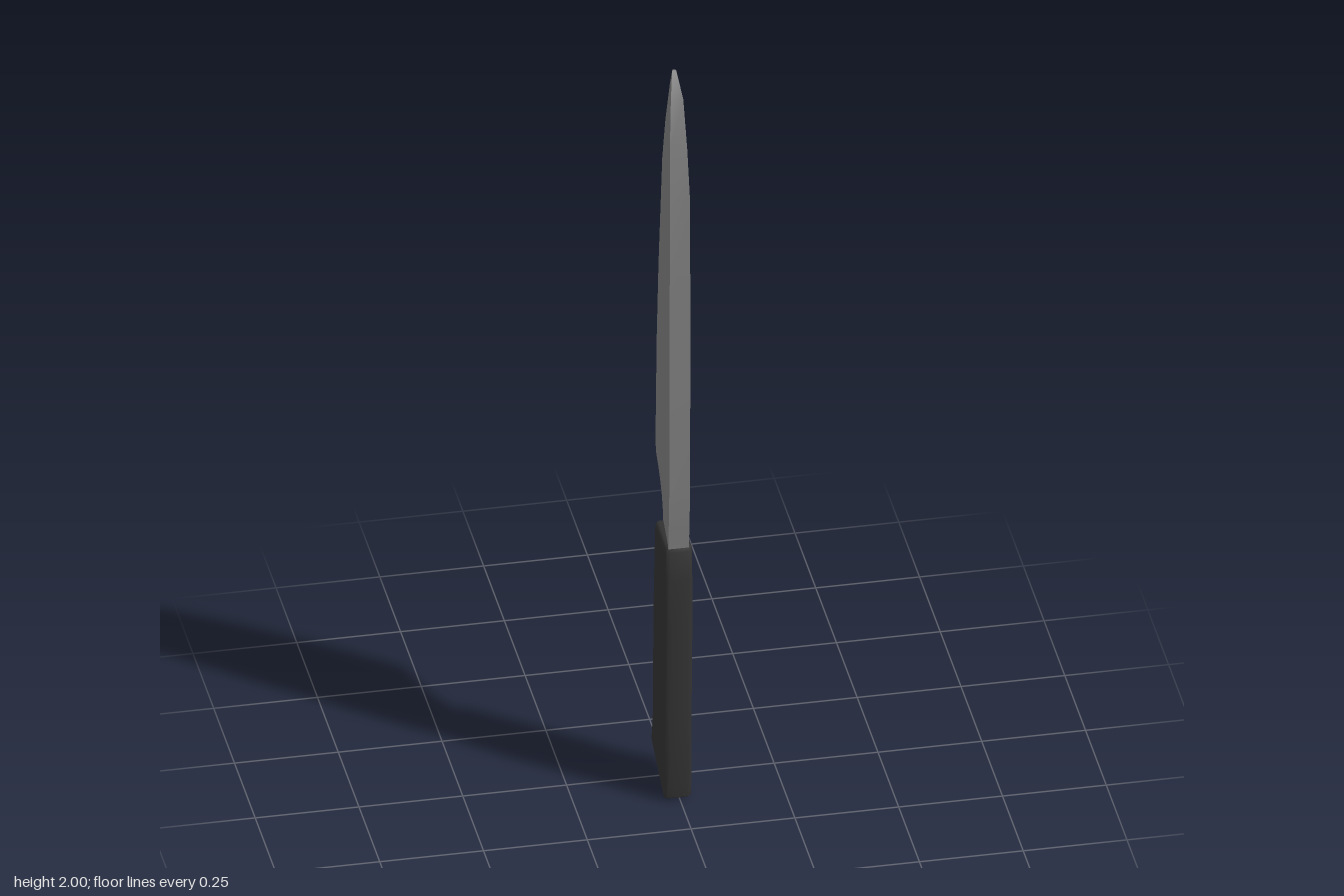
import * as THREE from 'three';
import { toCreasedNormals } from 'three/addons/utils/BufferGeometryUtils.js';

const CENTRE_X = -0.005;
const mat = (color) => new THREE.MeshStandardMaterial({ color });

// Wedge blade: each row is [y, spine z, edge z, half spine width, half edge width]
function bladeGeometry() {
  const rows = [
    [0.69, 0.124, 0.005, 0.025, 0.013],
    [0.735, 0.127, -0.012, 0.025, 0.011],
    [0.765, 0.13, -0.036, 0.025, 0.009],
    [0.785, 0.132, -0.066, 0.025, 0.007],
    [0.8, 0.133, -0.095, 0.025, 0.005],
    [0.818, 0.134, -0.135, 0.025, 0.003],
    [0.86, 0.137, -0.139, 0.025, 0.003],
    [1.14, 0.14, -0.125, 0.025, 0.003],
    [1.36, 0.141, -0.103, 0.025, 0.003],
    [1.68, 0.142, -0.058, 0.024, 0.003],
    [1.81, 0.124, -0.02, 0.021, 0.003],
    [1.94, 0.106, 0.033, 0.015, 0.003],
    [2.0, 0.071, 0.066, 0.005, 0.003],
  ];
  const pos = [];
  const idx = [];
  for (const [y, s, e, ws, we] of rows) {
    pos.push(ws, y, s, -ws, y, s, -we, y, e, we, y, e);
  }
  for (let i = 0; i < rows.length - 1; i++) {
    for (let j = 0; j < 4; j++) {
      const a = i * 4 + j;
      const b = i * 4 + ((j + 1) % 4);
      idx.push(a, a + 4, b, b, a + 4, b + 4);
    }
  }
  const t = (rows.length - 1) * 4;
  idx.push(0, 1, 2, 0, 2, 3, t, t + 2, t + 1, t, t + 3, t + 2);
  const geo = new THREE.BufferGeometry();
  geo.setAttribute('position', new THREE.Float32BufferAttribute(pos, 3));
  geo.setIndex(idx);
  return toCreasedNormals(geo, 0.5);
}

// Handle: side outline in (z, y), extruded across x with softened edges
function handleGeometry() {
  const outline = [
    [0.106, 0], [0.117, 0.008], [0.123, 0.04], [0.126, 0.25], [0.136, 0.5],
    [0.134, 0.62], [0.129, 0.695], [0.122, 0.711], [0.005, 0.711], [-0.003, 0.69],
    [-0.012, 0.6], [-0.025, 0.44], [-0.028, 0.2], [-0.034, 0.14], [-0.047, 0.085],
    [-0.043, 0.073],
  ];
  const shape = new THREE.Shape(outline.map(([z, y]) => new THREE.Vector2(-z, y)));
  const bevel = 0.01;
  const width = 0.066;
  const geo = new THREE.ExtrudeGeometry(shape, {
    depth: width - 2 * bevel,
    bevelSize: bevel,
    bevelThickness: bevel,
    bevelOffset: -bevel,
    bevelSegments: 3,
  });
  geo.translate(0, 0, -(width / 2 - bevel));
  geo.rotateY(Math.PI / 2);
  return toCreasedNormals(geo, 0.6);
}

export function createModel() {
  const model = new THREE.Group();
  model.name = 'kitchenKnife';

  const add = (name, geo, material, x, y = 0, z = 0) => {
    const mesh = new THREE.Mesh(geo, material);
    mesh.name = name;
    mesh.position.set(x, y, z);
    model.add(mesh);
    return mesh;
  };

  add('blade', bladeGeometry(), mat(0x808080), CENTRE_X);
  add('handle', handleGeometry(), mat(0x333333), CENTRE_X);

  // Domed rivets on the left face of the handle
  const rivetGeo = new THREE.SphereGeometry(0.019, 20, 14);
  const rivetMat = mat(0x999999);
  [[0.635, 0.062], [0.383, 0.054], [0.135, 0.045]].forEach(([y, z], i) => {
    add(`rivet${i + 1}`, rivetGeo, rivetMat, 0.024, y, z).scale.x = 0.65;
  });

  return model;
}
